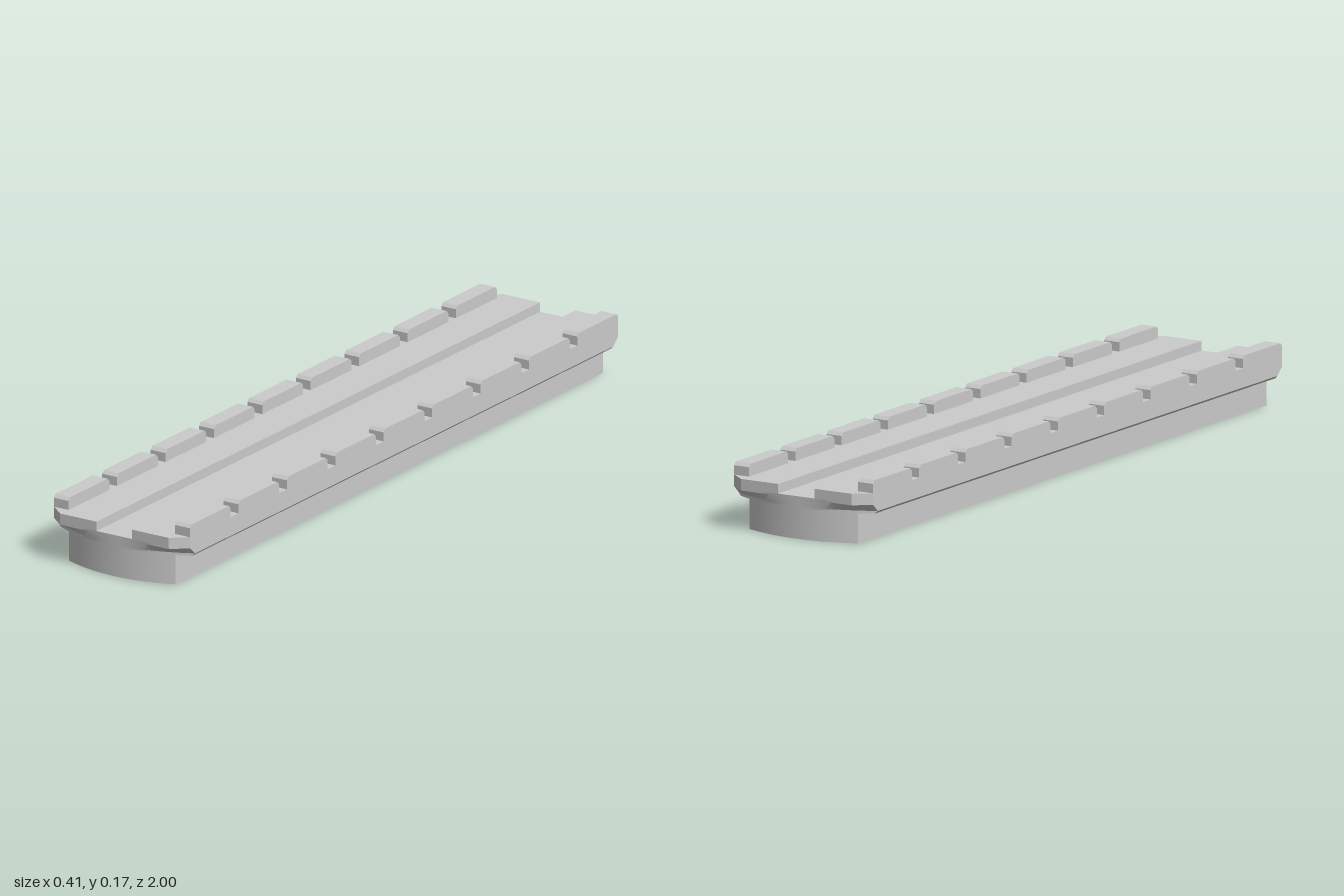
import * as THREE from 'three';
import { toCreasedNormals } from 'three/addons/utils/BufferGeometryUtils.js';

const material = new THREE.MeshStandardMaterial({ color: 0xcccccc });
const HALF_BASE = 0.162, HALF_DECK = 0.207, CHANNEL = 0.054;

// End outlines: z reached at a given x
const roundEnd = (x) => 1 - 0.035 * (x / HALF_BASE) ** 2;
const bevelEnd = (x) => Math.min(1, 1 - ((Math.abs(x) - 0.165) / 0.042) * 0.035);

// Closed horizontal outline, symmetric front to back
function ring(halfWidth, y, end) {
  const n = 20, points = [];
  for (const side of [1, -1]) {
    for (let i = 0; i <= n; i++) {
      const x = side * halfWidth * ((2 * i) / n - 1);
      points.push([x, y, side * end(x)]);
    }
  }
  return points;
}

// Skin stacked outlines and cap both ends
function loft(rings) {
  const positions = [];
  const tri = (...corners) => corners.forEach((c) => positions.push(...c));
  const count = rings[0].length, last = rings[rings.length - 1];
  for (let i = 0; i < count; i++) {
    const j = (i + 1) % count;
    for (let k = 0; k < rings.length - 1; k++) {
      const low = rings[k], high = rings[k + 1];
      tri(low[i], low[j], high[j]);
      tri(low[i], high[j], high[i]);
    }
    tri([0, rings[0][0][1], 0], rings[0][j], rings[0][i]);
    tri([0, last[0][1], 0], last[i], last[j]);
  }
  const geometry = new THREE.BufferGeometry();
  geometry.setAttribute('position', new THREE.Float32BufferAttribute(positions, 3));
  return toCreasedNormals(geometry, 0.6);
}

function extrude(points, depth) {
  const shape = new THREE.Shape(points.map(([x, y]) => new THREE.Vector2(x, y)));
  return new THREE.ExtrudeGeometry(shape, { depth, bevelEnabled: false });
}

export function createModel() {
  const model = new THREE.Group();
  const add = (name, geometry, parent = model) => {
    const mesh = new THREE.Mesh(geometry, material);
    mesh.name = name;
    parent.add(mesh);
    return mesh;
  };

  // Narrow foot with bowed ends
  add('base', loft([ring(HALF_BASE, 0, roundEnd), ring(HALF_BASE, 0.08, roundEnd)]));

  // Wider deck, blending from bowed underside to bevelled corners
  add('deck', loft([
    ring(0.2, 0.078, roundEnd),
    ring(HALF_DECK, 0.085, roundEnd),
    ring(HALF_DECK, 0.105, bevelEnd),
    ring(HALF_DECK, 0.11, bevelEnd),
  ]));

  // Raised strips either side of the central channel
  const stripOutline = (s) => [
    [s * CHANNEL, -1], [s * 0.165, -1], [s * HALF_DECK, -0.965],
    [s * HALF_DECK, 0.965], [s * 0.165, 1], [s * CHANNEL, 1],
  ];
  // Tooth profile along z with small top chamfers
  const half = 0.092, top = 0.167, cut = 0.008;
  const tooth = extrude([
    [-half, 0.134], [half, 0.134], [half, top - cut], [half - cut, top],
    [-half + cut, top], [-half, top - cut],
  ], HALF_DECK - HALF_BASE);
  tooth.rotateY(-Math.PI / 2);

  for (const [side, s] of [['left', 1], ['right', -1]]) {
    const strip = extrude(stripOutline(s), 0.025).rotateX(-Math.PI / 2);
    add(`${side}Strip`, strip).position.y = 0.11;

    const teeth = new THREE.Group();
    teeth.name = `${side}Teeth`;
    model.add(teeth);
    for (let i = -4; i <= 4; i++) {
      add('tooth', tooth, teeth).position.set(s > 0 ? HALF_DECK : -HALF_BASE, 0, i * 0.2185);
    }
  }
  return model;
}
